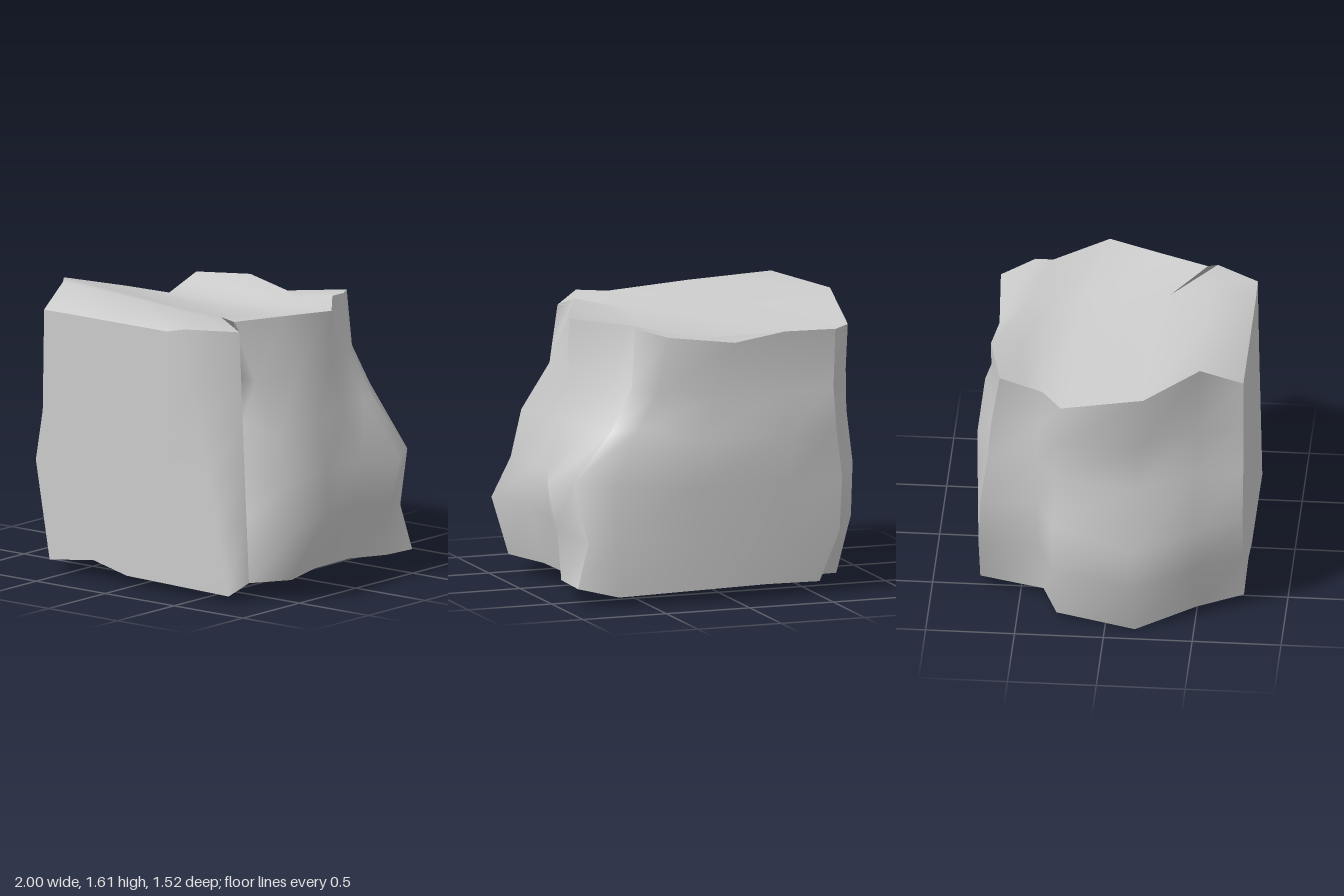
import * as THREE from 'three';

const material = new THREE.MeshStandardMaterial({ color: 0xcccccc });

// Smooth sheet lofted through neighbouring lines of points; sheets meet in sharp edges
function loft(name, lines) {
  const n = lines[0].length, index = [];
  for (let i = 0; i < lines.length - 1; i++) {
    for (let j = 0; j < n - 1; j++) {
      const a = i * n + j, b = a + n;
      index.push(a, b, b + 1, a, b + 1, a + 1);
    }
  }
  const geometry = new THREE.BufferGeometry();
  geometry.setAttribute('position', new THREE.Float32BufferAttribute(lines.flat(2), 3));
  geometry.setIndex(index);
  geometry.computeVertexNormals();
  const mesh = new THREE.Mesh(geometry, material);
  mesh.name = name;
  return mesh;
}

export function createModel() {
  // Upright edges shared by neighbouring sides, bottom to top
  const frontLeft = [[-0.6, 0.07, 0.76], [-0.65, 0.35, 0.76], [-0.7, 0.63, 0.76], [-0.65, 0.92, 0.76], [-0.645, 1.2, 0.76], [-0.64, 1.5, 0.76]];
  const frontRight = [[0.74, 0.1, 0.63], [0.7, 0.45, 0.603], [0.666, 0.75, 0.58], [0.637, 1.0, 0.56], [0.609, 1.25, 0.54], [0.58, 1.5, 0.52]];
  const backRight = [[0.89, 0.1, -0.63], [0.82, 0.35, -0.61], [0.9, 0.69, -0.575], [0.67, 0.96, -0.555], [0.53, 1.21, -0.53], [0.5, 1.54, -0.5]];
  const backLeft = [[-0.52, 0.07, -0.73], [-0.64, 0.35, -0.73], [-0.66, 0.65, -0.72], [-0.64, 0.93, -0.68], [-0.63, 1.16, -0.66], [-0.66, 1.48, -0.61]];

  // Flat front with a rounded corner
  const front = [
    frontLeft,
    [[-0.28, 0.11, 0.76], [-0.27, 0.35, 0.76], [-0.25, 0.63, 0.76], [-0.22, 0.92, 0.76], [-0.21, 1.2, 0.76], [-0.2, 1.5, 0.76]],
    [[-0.04, 0.055, 0.76], [0.1, 0.38, 0.76], [0.2, 0.67, 0.76], [0.23, 0.95, 0.76], [0.24, 1.2, 0.76], [0.25, 1.5, 0.76]],
    [[0.7, 0.04, 0.76], [0.62, 0.4, 0.76], [0.55, 0.7, 0.76], [0.49, 0.95, 0.76], [0.44, 1.2, 0.76], [0.38, 1.53, 0.76]],
    frontRight,
  ];
  // Right side, bulging near both ends
  const right = [
    frontRight,
    [[0.9, 0.11, 0.45], [0.995, 0.44, 0.47], [0.88, 0.66, 0.47], [0.82, 0.93, 0.46], [0.64, 1.21, 0.45], [0.5, 1.54, 0.47]],
    [[0.81, 0.11, 0.13], [0.9, 0.44, 0.12], [0.87, 0.68, 0.1], [0.81, 0.95, 0.1], [0.68, 1.23, 0.12], [0.62, 1.54, 0.18]],
    [[0.8, 0.11, -0.19], [0.88, 0.44, -0.17], [0.9, 0.7, -0.17], [0.8, 0.97, -0.12], [0.73, 1.23, -0.1], [0.74, 1.54, -0.1]],
    [[0.9, 0.11, -0.39], [0.93, 0.42, -0.4], [0.985, 0.67, -0.4], [0.74, 0.97, -0.4], [0.58, 1.22, -0.4], [0.5, 1.54, -0.4]],
    backRight,
  ];
  // Gently swollen back
  const back = [
    backRight,
    [[0.67, 0.05, -0.7], [0.68, 0.36, -0.7], [0.68, 0.68, -0.69], [0.54, 1.0, -0.68], [0.42, 1.2, -0.67], [0.37, 1.51, -0.685]],
    [[0.2, 0.07, -0.75], [0.2, 0.34, -0.76], [0.25, 0.65, -0.76], [0.2, 0.92, -0.76], [0.08, 1.14, -0.68], [-0.04, 1.45, -0.66]],
    [[-0.2, 0.08, -0.76], [-0.3, 0.34, -0.76], [-0.33, 0.65, -0.76], [-0.33, 0.92, -0.76], [-0.33, 1.14, -0.68], [-0.33, 1.5, -0.685]],
    backLeft,
  ];
  // Left side with a notch towards the back
  const left = [
    backLeft,
    [[-0.57, 0.035, -0.37], [-0.62, 0.35, -0.4], [-0.65, 0.65, -0.4], [-0.66, 0.95, -0.4], [-0.66, 1.18, -0.39], [-0.66, 1.4, -0.37]],
    [[-0.79, 0.02, -0.28], [-0.87, 0.35, -0.3], [-0.88, 0.65, -0.3], [-0.85, 0.95, -0.28], [-0.85, 1.18, -0.27], [-0.87, 1.43, -0.25]],
    [[-0.9, 0, 0.17], [-0.96, 0.3, 0.16], [-1, 0.57, 0.16], [-0.89, 0.92, 0.18], [-0.89, 1.2, 0.2], [-0.94, 1.55, 0.22]],
    [[-0.7, 0.04, 0.5], [-0.78, 0.35, 0.5], [-0.8, 0.6, 0.5], [-0.73, 0.93, 0.5], [-0.71, 1.22, 0.5], [-0.7, 1.61, 0.52]],
    frontLeft,
  ];
  const sides = { frontFace: front, rightFace: right, backFace: back, leftFace: left };

  // Top: a ridge near the front, then a shallow dip; rows run back to front
  const end = (column) => column[column.length - 1];
  const top = [
    [end(backLeft), end(back[3]), end(back[2]), end(back[1])],
    [[-0.66, 1.44, -0.49], [-0.3, 1.44, -0.52], [0.15, 1.46, -0.52], end(backRight)],
    [end(left[1]), [-0.25, 1.4, -0.4], [0.2, 1.44, -0.4], end(right[4])],
    [end(left[2]), [-0.25, 1.4, -0.25], [0.3, 1.44, -0.2], end(right[3])],
    [[-0.905, 1.49, -0.015], [-0.25, 1.44, 0], [0.25, 1.45, 0.02], end(right[2])],
    [end(left[3]), [-0.25, 1.51, 0.24], [0.25, 1.5, 0.28], end(right[1])],
    [end(left[4]), [-0.2, 1.59, 0.52], [0.28, 1.56, 0.52], end(frontRight)],
    [end(frontLeft), end(front[1]), end(front[2]), end(front[3])],
  ];

  const group = new THREE.Group();
  group.name = 'boulder';
  for (const [name, columns] of Object.entries(sides)) group.add(loft(name, columns));
  group.add(loft('topFace', top));

  // Underside: the lower rim runs in to a level middle
  const rim = Object.values(sides).flatMap((columns) => columns.slice(0, -1).map((c) => c[0]));
  const spokes = [...rim, rim[0]].map(([x, y, z]) => [[0, 0.05, 0], [x * 0.55, 0.05, z * 0.55], [x, y, z]]);
  group.add(loft('underside', spokes));
  return group;
}
